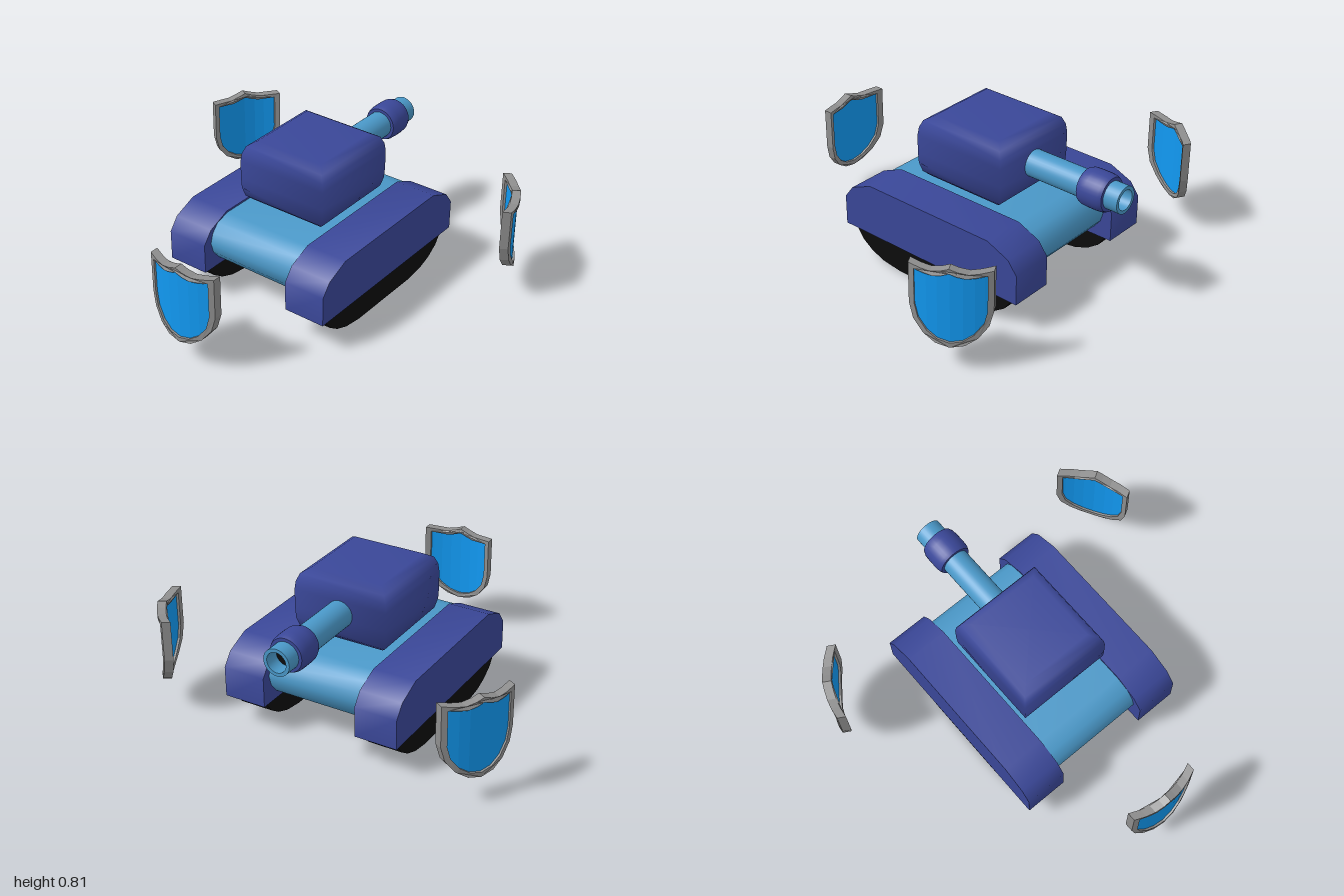
import * as THREE from 'three';
import { toCreasedNormals } from 'three/addons/utils/BufferGeometryUtils.js';

const paint = (color, flatShading = false) =>
  new THREE.MeshStandardMaterial({ color, flatShading, side: THREE.DoubleSide });
const navy = paint(0x3a4798), cyan = paint(0x4a98c8), black = paint(0x0c0c0c);
const steel = paint(0x8e8e8e, true), blue = paint(0x1199f2, true);

const MID_Z = -0.125; // middle of the tank and of the ring of shields
const vec = (pts) => pts.map(([x, y]) => new THREE.Vector2(x, y));
const mirrored = (half) => [...half, ...half.map(([x, y]) => [-x, y]).reverse()];

function part(name, geometry, material) {
  const mesh = new THREE.Mesh(geometry, material);
  mesh.name = name;
  return mesh;
}

// Side profile (half, z against y) mirrored front to back and given a width in x
function sideSlab(half, width, crease) {
  const geo = new THREE.ExtrudeGeometry(new THREE.Shape(vec(mirrored(half))), { depth: width, bevelEnabled: false });
  geo.translate(0, 0, -width / 2).rotateY(-Math.PI / 2).translate(0, 0, MID_Z);
  return toCreasedNormals(geo, crease);
}

// Turned part lying along -z
const turned = (pts) =>
  toCreasedNormals(new THREE.LatheGeometry(vec(pts), 32).rotateX(-Math.PI / 2), 0.8);

// Bows a shield backwards towards its sides
function bow(geo) {
  const p = geo.attributes.position;
  for (let i = 0; i < p.count; i++) p.setZ(i, p.getZ(i) - 0.047 * (p.getX(i) / 0.2) ** 2);
  geo.computeVertexNormals();
  return geo;
}

function shield() {
  const group = new THREE.Group();
  const half = [[0, 0.575], [0.04, 0.56], [0.09, 0.548], [0.14, 0.552], [0.2, 0.56], [0.2, 0.34],
    [0.18, 0.26], [0.13, 0.195], [0.07, 0.155], [0, 0.14]];
  const inset = ([x, y], s) => [x * s, 0.355 + (y - 0.355) * (s + 0.02)];

  // rim
  const shape = new THREE.Shape(vec(mirrored(half).slice(0, -1)));
  shape.holes.push(new THREE.Path(vec(mirrored(half.map((p) => inset(p, 0.86))).slice(0, -1))));
  const rim = new THREE.ExtrudeGeometry(shape, { depth: 0.046, bevelEnabled: false });
  rim.translate(0, 0, -0.023);
  group.add(part('shieldRim', bow(rim), steel));

  // panel made of vertical strips: x, top, bottom
  const cols = [[0, 0.575, 0.14], [0.07, 0.55, 0.155], [0.13, 0.551, 0.195], [0.18, 0.557, 0.26], [0.2, 0.56, 0.34]];
  const panel = new THREE.BoxGeometry(8, 2, 0.022, 8, 1, 1);
  const p = panel.attributes.position;
  for (let i = 0; i < p.count; i++) {
    const k = Math.round(p.getX(i));
    const [x, top, bottom] = cols[Math.abs(k)];
    const [px, py] = inset([Math.sign(k) * x, p.getY(i) > 0 ? top : bottom], 0.875);
    p.setXY(i, px, py);
  }
  group.add(part('shieldPanel', bow(panel), blue));
  return group;
}

export function createModel() {
  const model = new THREE.Group();
  model.name = 'tank';

  // hull between the tracks
  model.add(part('hull', sideSlab([[0.39, 0.445], [0.47, 0.42], [0.51, 0.375], [0.527, 0.32],
    [0.51, 0.26], [0.47, 0.21], [0.39, 0.185]], 0.54, 0.9), cyan));

  // fenders and tracks
  const fender = sideSlab([[0.395, 0.455], [0.525, 0.4], [0.578, 0.33], [0.578, 0.165]], 0.235, 0.7);
  const track = sideSlab([[0.53, 0.17], [0.52, 0.14], [0.485, 0.09], [0.42, 0.045], [0.34, 0.015], [0.23, 0]], 0.185, 0.7);
  for (const side of [-1, 1]) {
    const f = part(side > 0 ? 'leftFender' : 'rightFender', fender, navy);
    f.position.x = side * 0.3825;
    const t = part(side > 0 ? 'leftTrack' : 'rightTrack', track, black);
    t.position.x = side * 0.3825;
    model.add(f, t);
  }

  // turret: a four-sided turned block with softened top and bottom edges
  const turretProfile = [[0, 0.46], [0.82, 0.46], [0.94, 0.49], [0.99, 0.54], [1, 0.6],
    [1, 0.7], [0.98, 0.745], [0.92, 0.785], [0.76, 0.812], [0, 0.812]];
  const turret = new THREE.LatheGeometry(vec(turretProfile.map(([r, y]) => [r * Math.SQRT2, y])), 4, Math.PI / 4);
  turret.scale(0.265, 1, 0.275).translate(0, 0, MID_Z);
  model.add(part('turret', turret, navy));

  // gun
  const gun = new THREE.Group();
  gun.name = 'gun';
  gun.position.y = 0.63;
  gun.add(part('barrel', turned([[0.073, 0.36], [0.073, 0.96], [0.054, 0.96], [0.054, 0.86]]), cyan));
  gun.add(part('muzzleSleeve', turned([[0.07, 0.73], [0.09, 0.73], [0.098, 0.75], [0.1, 0.78], [0.1, 0.83],
    [0.098, 0.86], [0.09, 0.88], [0.07, 0.88]]), navy));
  const bore = part('bore', new THREE.CircleGeometry(0.056, 32), black);
  bore.position.z = -0.88;
  gun.add(bore);
  model.add(gun);

  // three shields floating around the tank
  ['frontShield', 'backLeftShield', 'backRightShield'].forEach((name, i) => {
    const pivot = new THREE.Group();
    pivot.name = name;
    const s = shield();
    s.position.z = 1.057;
    pivot.add(s);
    pivot.position.z = MID_Z;
    pivot.rotation.y = (i * Math.PI * 2) / 3;
    model.add(pivot);
  });
  return model;
}
